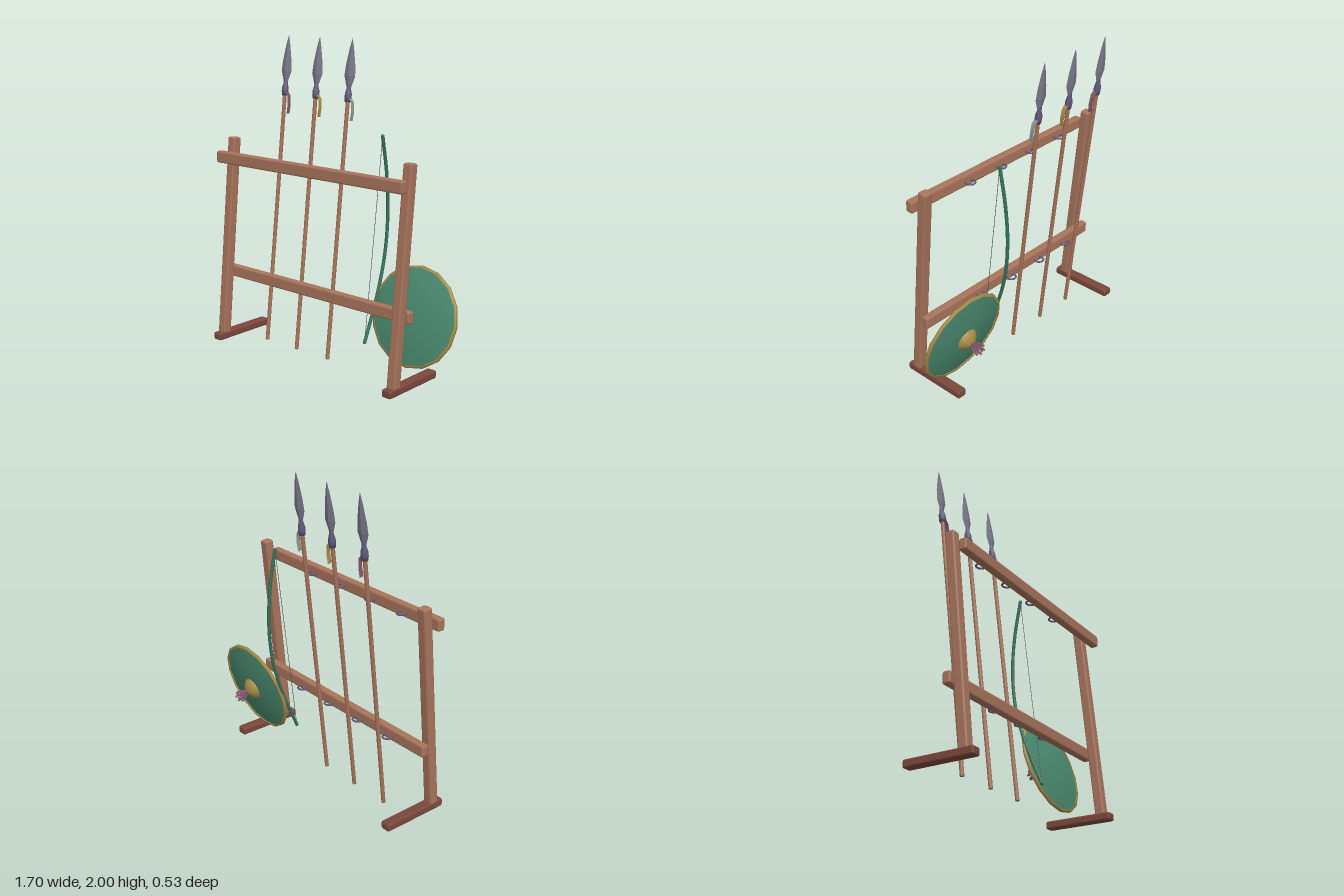
import * as THREE from 'three';
import { RoundedBoxGeometry } from 'three/addons/geometries/RoundedBoxGeometry.js';

const mat = (name, color, extra = {}) =>
  Object.assign(new THREE.MeshStandardMaterial({ color }), { name }, extra);

const V = (x, y, z) => new THREE.Vector3(x, y, z);
const P = (list) => list.map(([x, y]) => new THREE.Vector2(x, y));

export function createModel() {
  const M = {
    wood: mat('wood', 0xa8745c),
    darkWood: mat('darkWood', 0x7c473c),
    steel: mat('steel', 0x7c7a8c, { flatShading: true }),
    iron: mat('iron', 0x625a7c),
    green: mat('green', 0x4a8a70),
    bowGreen: mat('bowGreen', 0x35705a),
    gold: mat('gold', 0xa88d48, { side: THREE.DoubleSide }),
    plum: mat('plum', 0x85586c, { side: THREE.DoubleSide }),
    grey: mat('grey', 0x8f988c, { side: THREE.DoubleSide }),
    cord: mat('cord', 0x55525a),
  };
  const root = new THREE.Group();
  root.name = 'weaponRack';

  const add = (parent, name, geo, material, x = 0, y = 0, z = 0) => {
    const m = new THREE.Mesh(geo, material);
    m.name = name;
    m.position.set(x, y, z);
    parent.add(m);
    return m;
  };
  const beam = (w, h, d) => new RoundedBoxGeometry(w, h, d, 1, 0.012);

  // Frame: feet, leaning posts and two rails
  for (const x of [-0.815, 0.625]) {
    add(root, 'foot', beam(0.066, 0.05, 0.445), M.darkWood, x, 0.031, 0.042);
    add(root, 'post', beam(0.062, 1.31, 0.062), M.wood, x, 0.695, 0.132).rotation.x = -0.098;
  }
  const rails = [['upperRail', 1.227, 0.169], ['lowerRail', 0.453, 0.088]];
  for (const [name, y, z] of rails) {
    add(root, name, beam(1.52, 0.076, 0.052), M.wood, -0.095, y, z);
    // Curved iron hooks behind the rail
    for (const x of [-0.59, -0.32, -0.05, 0.22]) {
      const arc = Math.PI * 1.5;
      const hook = new THREE.TorusGeometry(0.03, 0.006, 6, 14, arc);
      hook.rotateZ(-Math.PI / 2 - arc / 2);
      hook.rotateX(Math.PI / 2);
      add(root, 'hook', hook, M.iron, x, y, z - 0.054);
    }
  }

  // Spears, leaning back
  const makeSpear = (x, ribbonMat) => {
    const spear = new THREE.Group();
    spear.name = 'spear';
    add(spear, 'shaft', new THREE.CylinderGeometry(0.0125, 0.0125, 1.64, 8), M.wood, 0, 0.82, 0);
    add(spear, 'socket', new THREE.LatheGeometry(P([
      [0, 1.622], [0.019, 1.622], [0.022, 1.65], [0.021, 1.675], [0.014, 1.7], [0.012, 1.73],
    ]), 8), M.iron);
    const blade = add(spear, 'blade', new THREE.LatheGeometry(P([
      [0, 1.69], [0.014, 1.7], [0.044, 1.78], [0.037, 1.85], [0.017, 1.95], [0, 2.01],
    ]), 4), M.steel);
    blade.scale.z = 0.32;
    // Ribbon tied at the socket
    const path = [[0.012, 1.655], [0.038, 1.625], [0.045, 1.565], [0.04, 1.51]];
    const ribbon = new THREE.PlaneGeometry(0.028, 1, 1, 3);
    const pos = ribbon.attributes.position;
    for (let i = 0; i < pos.count; i++) {
      const [px, py] = path[i >> 1];
      pos.setXYZ(i, px, py, -pos.getX(i));
    }
    ribbon.computeVertexNormals();
    add(spear, 'ribbon', ribbon, ribbonMat);
    spear.position.set(x, 0, 0.018);
    spear.rotation.x = -0.1165;
    root.add(spear);
  };
  makeSpear(-0.59, M.plum);
  makeSpear(-0.32, M.gold);
  makeSpear(-0.05, M.grey);

  // Bow and string
  const bow = new THREE.Group();
  bow.name = 'bow';
  const ends = [V(0.245, 0.18, 0.003), V(0.247, 1.435, -0.148)];
  const limb = new THREE.CatmullRomCurve3([
    ends[0], V(0.245, 0.45, -0.11), V(0.245, 0.7, -0.182),
    V(0.246, 0.95, -0.206), V(0.247, 1.2, -0.19), ends[1],
  ]);
  add(bow, 'limb', new THREE.TubeGeometry(limb, 28, 0.0105, 8), M.bowGreen);
  for (const e of ends) add(bow, 'limbTip', new THREE.SphereGeometry(0.0108, 8, 6), M.bowGreen, e.x, e.y, e.z);
  add(bow, 'bowString', new THREE.TubeGeometry(new THREE.LineCurve3(...ends), 1, 0.0018, 5), M.cord);
  root.add(bow);

  // Round shield, boss towards the back
  const shield = new THREE.Group();
  shield.name = 'shield';
  const dome = (depth) => {
    const pts = [];
    for (let i = 0; i <= 6; i++) {
      const r = 0.302 * (1 - i / 6);
      pts.push([r, depth * (1 - (r / 0.302) ** 2)]);
    }
    return new THREE.LatheGeometry(P(pts), 16).rotateX(Math.PI / 2);
  };
  add(shield, 'shieldFront', dome(0.035), M.green);
  add(shield, 'shieldBack', dome(0.038), M.green).rotation.y = Math.PI;
  const rim = new THREE.LatheGeometry(P([
    [0.296, -0.011], [0.31, -0.009], [0.31, 0.007], [0.296, 0.009],
  ]), 16).rotateX(Math.PI / 2);
  add(shield, 'rim', rim, M.gold);
  add(shield, 'boss', new THREE.LatheGeometry(P([
    [0.075, 0.03], [0.07, 0.046], [0.052, 0.064], [0.028, 0.08], [0, 0.086],
  ]), 16).rotateX(-Math.PI / 2), M.gold);
  // Tassel of spreading strands
  for (let i = 0; i < 8; i++) {
    const a = (i / 8) * Math.PI * 2;
    const s = i % 2 ? 0.033 : 0.022;
    const strand = new THREE.CatmullRomCurve3([
      V(0, 0, -0.075), V(Math.cos(a) * s * 0.8, Math.sin(a) * s * 0.8, -0.115),
      V(Math.cos(a) * s, Math.sin(a) * s, i % 2 ? -0.15 : -0.163),
    ]);
    add(shield, 'tassel', new THREE.TubeGeometry(strand, 5, 0.007, 5), M.plum);
  }
  shield.position.set(0.535, 0.385, -0.105);
  shield.rotation.x = -0.237;
  root.add(shield);

  return root;
}
